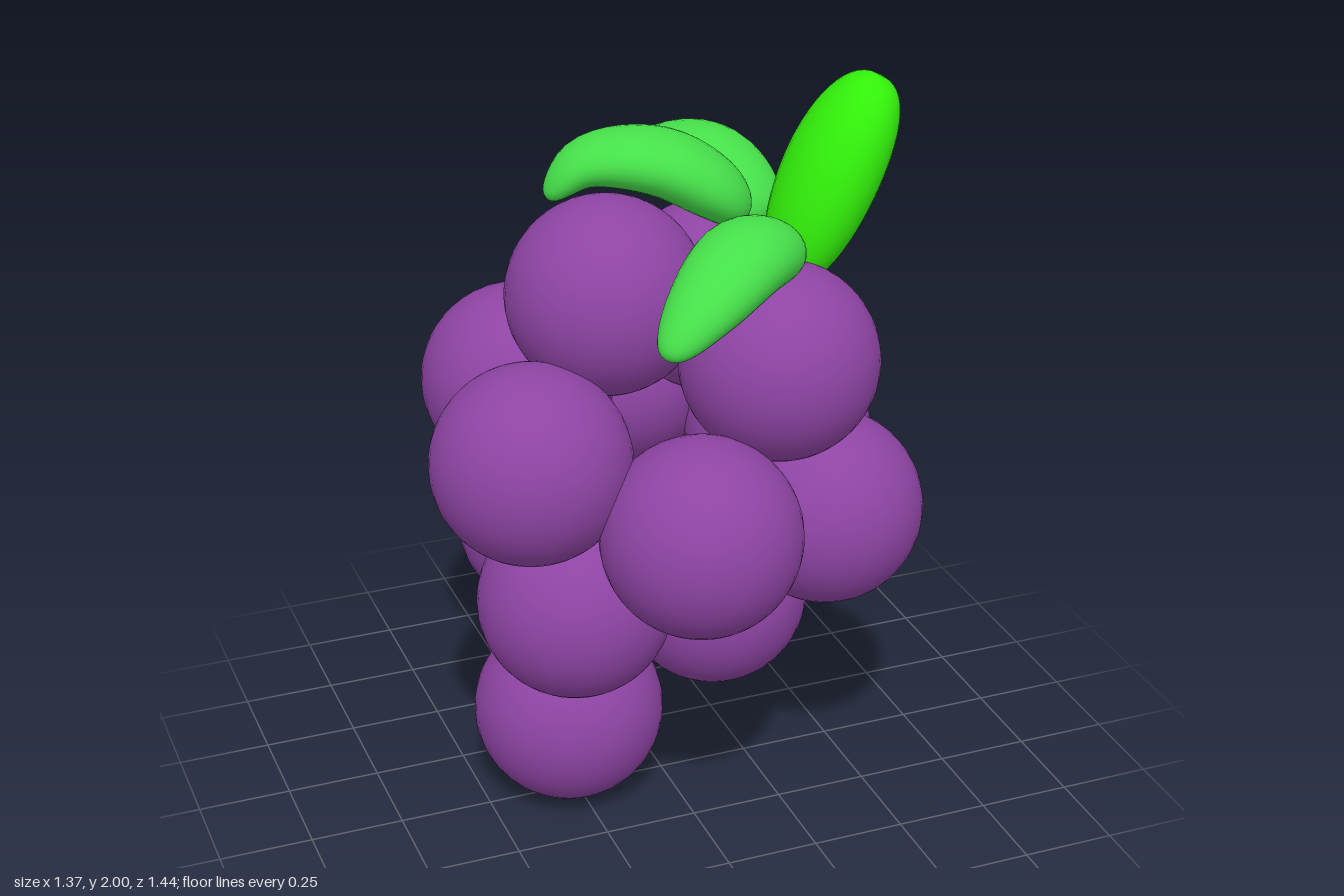
import * as THREE from 'three';
import { mergeVertices } from 'three/addons/utils/BufferGeometryUtils.js';

const material = (color) => new THREE.MeshStandardMaterial({ color });
const v = (p) => new THREE.Vector3(...p);

// Fleshy leaf: a sphere swept along a curved path from tip to base
function leafGeometry(points, halfWidth, halfThick, taper) {
  const path = new THREE.CatmullRomCurve3(points.map(v));
  const side = v(points[points.length - 1]).sub(v(points[0]))
    .cross(new THREE.Vector3(0, 1, 0)).normalize();
  let geo = new THREE.SphereGeometry(1, 28, 28);
  geo.deleteAttribute('uv');
  geo.deleteAttribute('normal');
  geo = mergeVertices(geo, 1e-4);
  const pos = geo.attributes.position;
  const p = new THREE.Vector3();
  for (let i = 0; i < pos.count; i++) {
    p.fromBufferAttribute(pos, i);
    const t = THREE.MathUtils.clamp((1 - p.y) / 2, 0, 1);
    const tangent = path.getTangentAt(t);
    const normal = tangent.clone().cross(side).normalize();
    // Fuller than an ellipse, narrowing towards the tip
    const r = Math.hypot(p.x, p.z);
    const swell = r > 1e-4 ? Math.pow(r, -0.2) * (1 + taper * (t - 0.6)) : 0;
    const q = path.getPointAt(t)
      .addScaledVector(side, p.x * halfWidth * swell)
      .addScaledVector(normal, p.z * halfThick * swell);
    pos.setXYZ(i, q.x, q.y, q.z);
  }
  geo.computeVertexNormals();
  return geo;
}

export function createModel() {
  const model = new THREE.Group();
  model.name = 'grapeBunch';

  // Grapes, listed from the top of the bunch down
  const grapeMaterial = material(0x8e44a4);
  const grapeGeometry = new THREE.SphereGeometry(0.256, 40, 28);
  const grapes = [
    [-0.17, 1.475, 0.05],
    [0.205, 1.33, -0.18],
    [0.21, 1.33, 0.28],
    [-0.435, 1.13, 0.23],
    [-0.31, 1.14, -0.25],
    [0.06, 1.01, -0.47],
    [-0.07, 0.97, 0.46],
    [0.42, 0.905, -0.2],
    [0.36, 0.88, 0.255],
    [-0.305, 0.69, 0.175],
    [-0.22, 0.7, -0.26],
    [0.15, 0.54, 0],
    [-0.265, 0.256, -0.01],
  ];
  const bunch = new THREE.Group();
  bunch.name = 'grapes';
  for (const [i, at] of grapes.entries()) {
    const grape = new THREE.Mesh(grapeGeometry, grapeMaterial);
    grape.name = `grape${i + 1}`;
    grape.position.set(...at);
    bunch.add(grape);
  }
  model.add(bunch);

  // Three drooping leaves and one brighter upright leaf
  const leafMaterial = material(0x46e04a);
  const uprightMaterial = material(0x32f00a);
  const leaves = [
    ['leftoverLeaf', leafMaterial, 0.135, 0.085, 0.5,
      [[-0.3, 1.73, -0.02], [-0.2, 1.81, -0.01], [-0.03, 1.81, 0.04], [0.1, 1.74, 0.07], [0.19, 1.65, 0.08]]],
    ['frontLeaf', leafMaterial, 0.125, 0.095, 0.5,
      [[-0.18, 1.49, 0.51], [-0.06, 1.58, 0.44], [0.09, 1.64, 0.33], [0.25, 1.6, 0.2]]],
    ['backLeaf', leafMaterial, 0.13, 0.095, 0.5,
      [[0.08, 1.56, -0.49], [0.13, 1.67, -0.36], [0.2, 1.7, -0.2], [0.29, 1.59, 0]]],
    ['uprightLeaf', uprightMaterial, 0.145, 0.115, -0.1,
      [[0.54, 1.99, 0.12], [0.43, 1.8, 0.13], [0.28, 1.48, 0.14]]],
  ];
  leaves[0][0] = 'sideLeaf';
  for (const [name, mat, width, thick, taper, points] of leaves) {
    const leaf = new THREE.Mesh(leafGeometry(points, width, thick, taper), mat);
    leaf.name = name;
    model.add(leaf);
  }

  return model;
}
